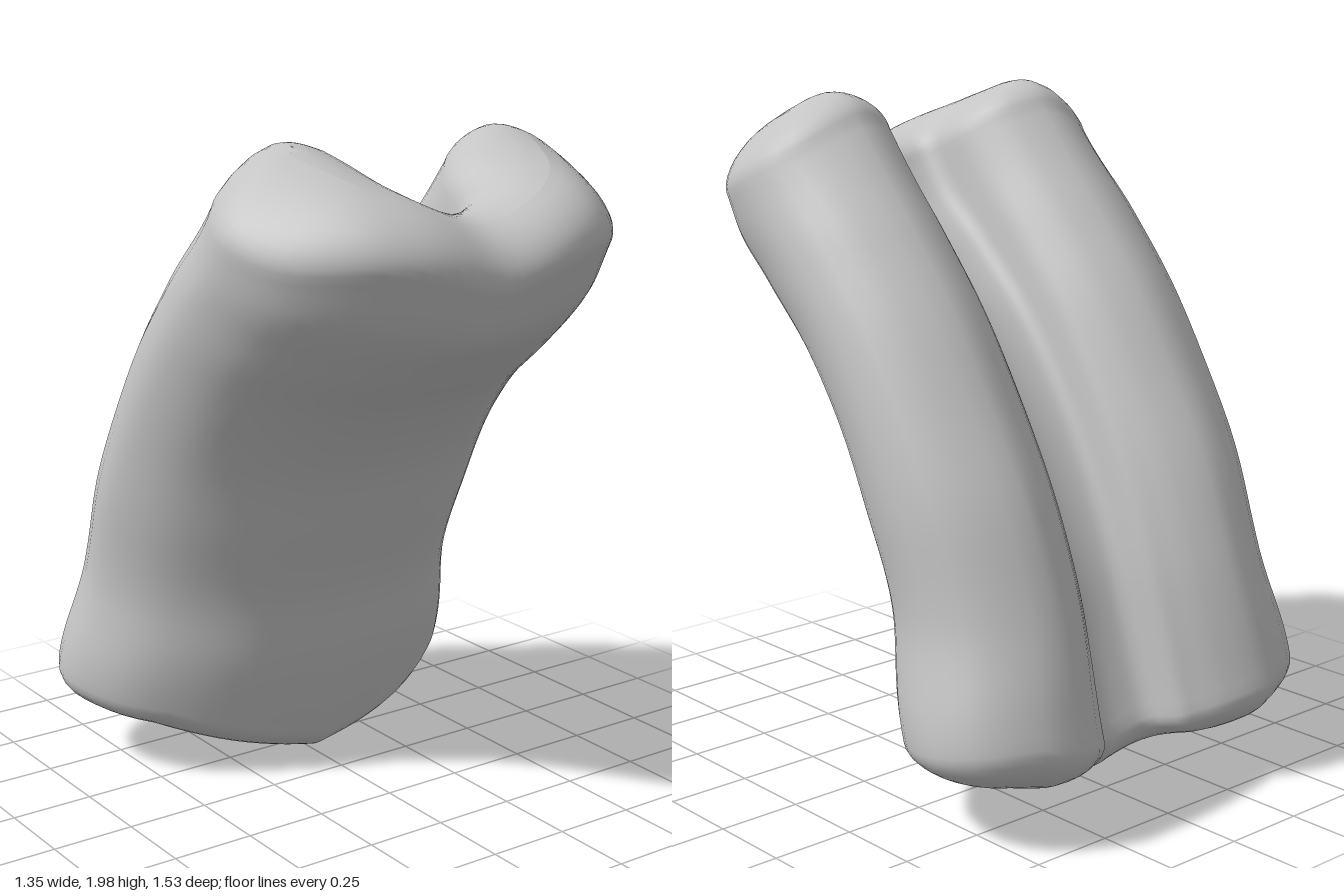
import * as THREE from 'three';

const N = 96;      // points round one section
const BODY = 48;   // rows along the body
const CAP = 10;    // rows in each rounded end

// Half of the U-shaped section: x, depth (0 = front, 1 = back)
const outer = [[0, 0], [0.14, 0.008], [0.28, 0.055], [0.42, 0.16], [0.54, 0.31], [0.61, 0.49], [0.63, 0.68], [0.56, 0.88]];
const inner = [[0.25, 0.94], [0.18, 0.83], [0.145, 0.71], [0.13, 0.6], [0.12, 0.52], [0.095, 0.46], [0.05, 0.43], [0, 0.42]];

// Front and back edges of the bent body: z, y
const frontEdge = [[-0.08, 0.18], [-0.01, 0.38], [0.04, 0.6], [0.12, 0.8], [0.22, 1.02], [0.38, 1.22], [0.55, 1.36], [0.69, 1.5], [0.765, 1.67]];
const backEdge = [[-0.78, 0.3], [-0.73, 0.5], [-0.66, 0.72], [-0.57, 0.95], [-0.44, 1.18], [-0.29, 1.42], [-0.13, 1.62], [0.02, 1.79], [0.13, 1.92]];

const { lerp, smoothstep } = THREE.MathUtils;
const curve = (pts, closed = false) =>
  new THREE.CatmullRomCurve3(pts.map(([a, b]) => new THREE.Vector3(a, b, 0)), closed);

// Section at t along the body; the groove gets deeper towards the top
function sectionLoop(t) {
  const grooveScale = lerp(0.62, 0.86, t);
  const groove = inner.map(([x, u], i) => [x, 1 - (1 - u) * lerp(1, grooveScale, Math.min(1, i / 2))]);
  const half = [...outer, [0.38, 1], ...groove];
  const mirrored = half.slice(1, -1).reverse().map(([x, u]) => [-x, u]);
  const loop = curve([...half, ...mirrored], true);
  return Array.from({ length: N }, (_, j) => loop.getPoint(j / N));
}

// Middle of the wall at each point, kept clear of the lobe tips: the ends close onto it
function wallMiddle(section) {
  return section.map((p, j) => {
    const m = p.clone().add(section[(N / 2 - j + N) % N]).multiplyScalar(0.5);
    m.y = Math.min(m.y, 0.76);
    return m;
  });
}

function bentBody() {
  const front = curve(frontEdge), back = curve(backEdge);
  const positions = [], index = [];

  function addRow(t, angle) {
    const section = sectionLoop(t), middle = wallMiddle(section);
    const f = front.getPoint(t), b = back.getPoint(t);
    const depth = b.clone().sub(f);
    // Direction along the body, square to the section
    const axis = new THREE.Vector3(depth.y, -depth.x, 0).normalize();
    const bulge = 0.125 * Math.sin(angle) * (t < 0.5 ? -1 : 1);
    const topBlend = smoothstep(t, 0.75, 1);
    const lowBlend = 1 - smoothstep(t, 0, 0.22);
    const flare = 1 + 0.07 * lowBlend - 0.02 * Math.exp(-(((t - 0.25) / 0.1) ** 2));
    for (let j = 0; j < N; j++) {
      const p = middle[j].clone().lerp(section[j], Math.cos(angle));
      const ax = Math.abs(p.x);
      // The top dips between the lobes; the base comes to a shallow keel
      const topShift = -0.07 * Math.exp(-((ax / 0.17) ** 2)) - 0.09 * smoothstep(ax, 0.33, 0.66);
      const lowShift = Math.min(0.03, -0.085 + 0.25 * ax);
      const along = bulge + topShift * topBlend + lowShift * lowBlend;
      positions.push(
        p.x * flare,
        f.y + depth.y * p.y + axis.x * -0 + axis.y * along,
        f.x + depth.x * p.y + axis.x * along);
    }
  }

  for (let i = CAP; i > 0; i--) addRow(0, (i / CAP) * Math.PI / 2);
  for (let i = 0; i <= BODY; i++) addRow(i / BODY, 0);
  for (let i = 1; i <= CAP; i++) addRow(1, (i / CAP) * Math.PI / 2);

  const rows = BODY + 1 + 2 * CAP;
  for (let r = 0; r < rows - 1; r++) {
    for (let j = 0; j < N; j++) {
      const a = r * N + j, b = r * N + (j + 1) % N;
      index.push(a, b, a + N, b, b + N, a + N);
    }
  }
  const geometry = new THREE.BufferGeometry();
  geometry.setAttribute('position', new THREE.Float32BufferAttribute(positions, 3));
  geometry.setIndex(index);
  geometry.computeVertexNormals();
  return geometry;
}

export function createModel() {
  const group = new THREE.Group();
  group.name = 'groovedBentBody';
  const grey = new THREE.MeshStandardMaterial({ color: 0xc4c4c4 });
  grey.name = 'light grey';
  const body = new THREE.Mesh(bentBody(), grey);
  body.name = 'body';
  // Stand on the ground, centred
  const box = new THREE.Box3().setFromObject(body);
  body.position.set(0, -box.min.y, -(box.min.z + box.max.z) / 2);
  group.add(body);
  return group;
}
